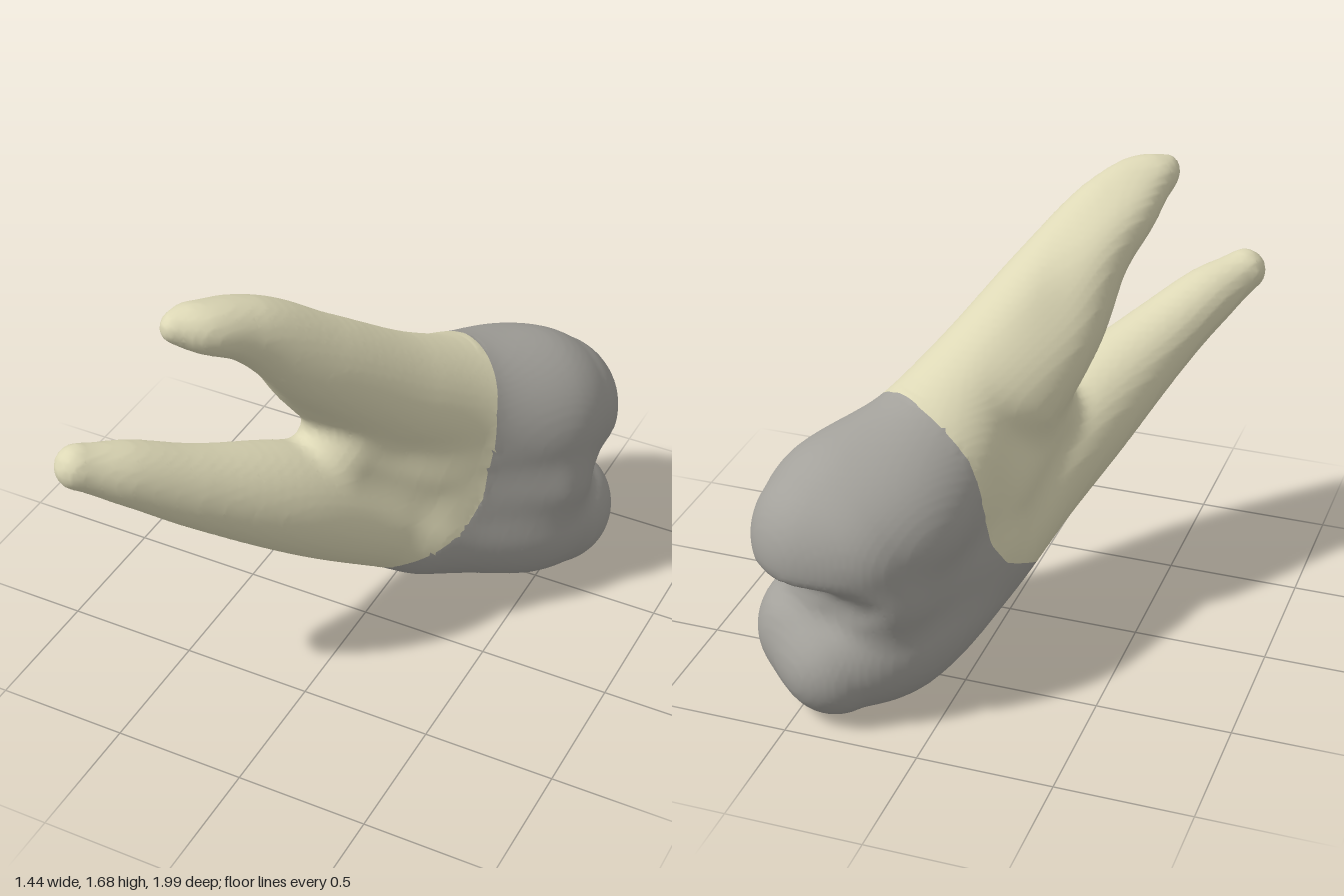
import * as THREE from 'three';

// Local frame: x across the tooth, y up, z along it towards the root tips.
// Limbs are chains of [x, y, z, radius] that taper and blend together.
const LIMBS = [
  // upper root running into the upper half of the crown
  [[0, 1.635, 0.76, 0.05], [0.03, 1.61, 0.65, 0.088], [0.03, 1.54, 0.48, 0.113], [0.02, 1.31, 0.21, 0.168],
    [0, 1.05, -0.12, 0.21], [-0.03, 0.86, -0.42, 0.255], [-0.03, 0.715, -0.7, 0.325], [-0.03, 0.69, -0.82, 0.28]],
  // inner flange that widens the upper root
  [[-0.03, 1.62, 0.7, 0.06], [-0.06, 1.54, 0.54, 0.095], [-0.075, 1.42, 0.36, 0.12], [-0.09, 1.2, 0.2, 0.145], [-0.07, 1, -0.03, 0.195]],
  // second upper cusp
  [[-0.08, 0.84, -0.38, 0.24], [-0.15, 0.73, -0.62, 0.265], [-0.16, 0.69, -0.76, 0.235]],
  // lower root running into the lower half of the crown
  [[-0.08, 1.145, 1.12, 0.082], [-0.05, 1.07, 0.95, 0.115], [-0.02, 0.94, 0.72, 0.148], [-0.01, 0.75, 0.36, 0.203], [-0.02, 0.575, 0.06, 0.222],
    [-0.06, 0.42, -0.3, 0.265], [-0.13, 0.3, -0.66, 0.265], [-0.1, 0.22, -0.87, 0.2]],
  // second lower cusp
  [[0.02, 0.43, -0.25, 0.225], [0.06, 0.32, -0.64, 0.258], [0.05, 0.265, -0.81, 0.24]],
  // trunk between the roots
  [[-0.03, 0.86, 0.09, 0.165], [-0.05, 0.69, -0.28, 0.265], [-0.05, 0.57, -0.6, 0.29]],
  // side walls of the crown
  [[-0.15, 0.52, -0.3, 0.18], [-0.22, 0.52, -0.72, 0.185]],
  [[0.02, 0.55, -0.3, 0.18], [0.13, 0.52, -0.7, 0.19]],
];
// Grooves cut into the chewing surface
const GROOVES = [
  [[-0.5, 0.5, -0.9, 0.04], [-0.3, 0.51, -0.98, 0.08], [0, 0.52, -1.04, 0.09], [0.24, 0.52, -0.97, 0.075], [0.42, 0.51, -0.9, 0.04]],
  [[0.28, 0.5, -0.93, 0.05], [0.4, 0.32, -0.78, 0.025]],
  [[-0.36, 0.5, -0.92, 0.05], [-0.46, 0.32, -0.8, 0.025]],
];
// Edge of the crown: [y, z]
const NECK = [[0.28, 0.03], [0.36, -0.04], [0.42, -0.14], [0.5, -0.28], [0.6, -0.35], [0.8, -0.4], [0.95, -0.42], [1.1, -0.48]];
const CELL = 0.02;
const TURN = -0.549;

// Smooth a chain into short tapered segments
function segments(chain) {
  const last = chain.length - 1;
  const curve = new THREE.CatmullRomCurve3(chain.map((p) => new THREE.Vector3(p[0], p[1], p[2])));
  const radius = new THREE.SplineCurve(chain.map((p, i) => new THREE.Vector2(i, p[3])));
  const pts = [];
  for (let i = 0; i <= last * 9; i++) {
    const t = i / (last * 9);
    pts.push([...curve.getPoint(t).toArray(), radius.getPoint(t).y]);
  }
  return pts.slice(1).map((b, i) => {
    const a = pts[i];
    const d = b.map((v, j) => v - a[j]);
    return { a, d, len2: d[0] * d[0] + d[1] * d[1] + d[2] * d[2] };
  });
}

function chainDistance(segs, x, y, z) {
  let best = Infinity;
  for (const { a, d, len2 } of segs) {
    const px = x - a[0], py = y - a[1], pz = z - a[2];
    const t = Math.max(0, Math.min(1, (px * d[0] + py * d[1] + pz * d[2]) / len2));
    const qx = px - t * d[0], qy = py - t * d[1], qz = pz - t * d[2];
    best = Math.min(best, Math.sqrt(qx * qx + qy * qy + qz * qz) - a[3] - t * d[3]);
  }
  return best;
}

function smoothMin(a, b, k) {
  const h = Math.max(k - Math.abs(a - b), 0) / k;
  return Math.min(a, b) - h * h * k * 0.25;
}

function neckAt(y) {
  if (y <= NECK[0][0]) return NECK[0][1];
  for (let i = 1; i < NECK.length; i++) {
    const [y0, z0] = NECK[i - 1], [y1, z1] = NECK[i];
    if (y < y1) return z0 + ((z1 - z0) * (y - y0)) / (y1 - y0);
  }
  return NECK[NECK.length - 1][1];
}

// Skin a distance field with one vertex per surface cell
function skin(field, min, max, h) {
  const n = min.map((m, i) => Math.ceil((max[i] - m) / h) + 1);
  const step = [1, n[0], n[0] * n[1]];
  const f = new Float32Array(n[0] * n[1] * n[2]);
  const ids = new Int32Array(f.length).fill(-1);
  const positions = [], quads = [];
  const each = (lo, fn) => {
    for (let k = lo; k < n[2] - 1; k++)
      for (let j = lo; j < n[1] - 1; j++)
        for (let i = lo; i < n[0] - 1; i++) fn([i, j, k], i + j * step[1] + k * step[2]);
  };
  for (let k = 0, o = 0; k < n[2]; k++)
    for (let j = 0; j < n[1]; j++)
      for (let i = 0; i < n[0]; i++) f[o++] = field(min[0] + i * h, min[1] + j * h, min[2] + k * h);

  // average the crossings on the twelve edges of each cell
  each(0, (cell, o) => {
    const sum = [0, 0, 0];
    let count = 0;
    for (let corner = 0; corner < 8; corner++) {
      const c = [corner & 1, (corner >> 1) & 1, corner >> 2];
      const p = o + c[0] + c[1] * step[1] + c[2] * step[2];
      for (let a = 0; a < 3; a++) {
        if (c[a] || f[p] < 0 === f[p + step[a]] < 0) continue;
        const t = f[p] / (f[p] - f[p + step[a]]);
        for (let m = 0; m < 3; m++) sum[m] += c[m] + (m === a ? t : 0);
        count++;
      }
    }
    if (!count) return;
    ids[o] = positions.length / 3;
    for (let m = 0; m < 3; m++) positions.push(min[m] + (cell[m] + sum[m] / count) * h);
  });

  // join the four cells around each crossed edge
  each(1, (cell, o) => {
    for (let a = 0; a < 3; a++) {
      const inside = f[o] < 0;
      if (inside === f[o + step[a]] < 0) continue;
      const b = step[(a + 1) % 3], c = step[(a + 2) % 3];
      const q = [ids[o - b - c], ids[o - c], ids[o], ids[o - b]];
      quads.push(inside ? q : q.reverse());
    }
  });
  return { positions, quads };
}

export function createModel() {
  const limbs = LIMBS.map(segments), grooves = GROOVES.map(segments);
  const field = (x, y, z) => {
    let d = chainDistance(limbs[0], x, y, z);
    for (const limb of limbs.slice(1)) d = smoothMin(d, chainDistance(limb, x, y, z), 0.07);
    if (z < -0.6) for (const g of grooves) d = -smoothMin(-d, chainDistance(g, x, y, z), 0.05);
    return d;
  };
  const { positions, quads } = skin(field, [-0.54, -0.08, -1.26], [0.48, 1.8, 1.3], CELL);

  // pull nearby vertices onto the crown edge for a clean border
  for (let i = 0; i < positions.length; i += 3) {
    const y = positions[i + 1];
    const slope = (neckAt(y + 0.01) - neckAt(y - 0.01)) / 0.02;
    const gap = (positions[i + 2] - neckAt(y)) / (1 + slope * slope);
    if (Math.abs(gap) * Math.hypot(1, slope) > CELL * 0.55) continue;
    positions[i + 1] += gap * slope;
    positions[i + 2] -= gap;
  }

  // sort the faces into crown and roots
  const crownFaces = [], rootFaces = [];
  for (const [a, b, c, d] of quads) {
    for (const tri of [[a, b, c], [a, c, d]]) {
      const y = tri.reduce((s, i) => s + positions[i * 3 + 1], 0) / 3;
      const z = tri.reduce((s, i) => s + positions[i * 3 + 2], 0) / 3;
      (z < neckAt(y) ? crownFaces : rootFaces).push(...tri);
    }
  }

  // turn and stand the whole surface, so both parts share its normals
  const whole = new THREE.BufferGeometry();
  whole.setAttribute('position', new THREE.Float32BufferAttribute(positions, 3));
  whole.setIndex([...crownFaces, ...rootFaces]);
  whole.rotateY(TURN);
  whole.center();
  whole.translate(0, -whole.boundingBox.min.y, 0);
  whole.computeVertexNormals();

  const enamel = new THREE.MeshStandardMaterial({ color: 0xa3a19b });
  enamel.name = 'grey enamel';
  const dentine = new THREE.MeshStandardMaterial({ color: 0xddd8b6 });
  dentine.name = 'cream root';

  const group = new THREE.Group();
  group.name = 'molar';
  for (const [name, faces, material] of [['crown', crownFaces, enamel], ['roots', rootFaces, dentine]]) {
    const geometry = new THREE.BufferGeometry();
    geometry.setAttribute('position', whole.getAttribute('position'));
    geometry.setAttribute('normal', whole.getAttribute('normal'));
    geometry.setIndex(faces);
    const mesh = new THREE.Mesh(geometry, material);
    mesh.name = name;
    group.add(mesh);
  }
  return group;
}
